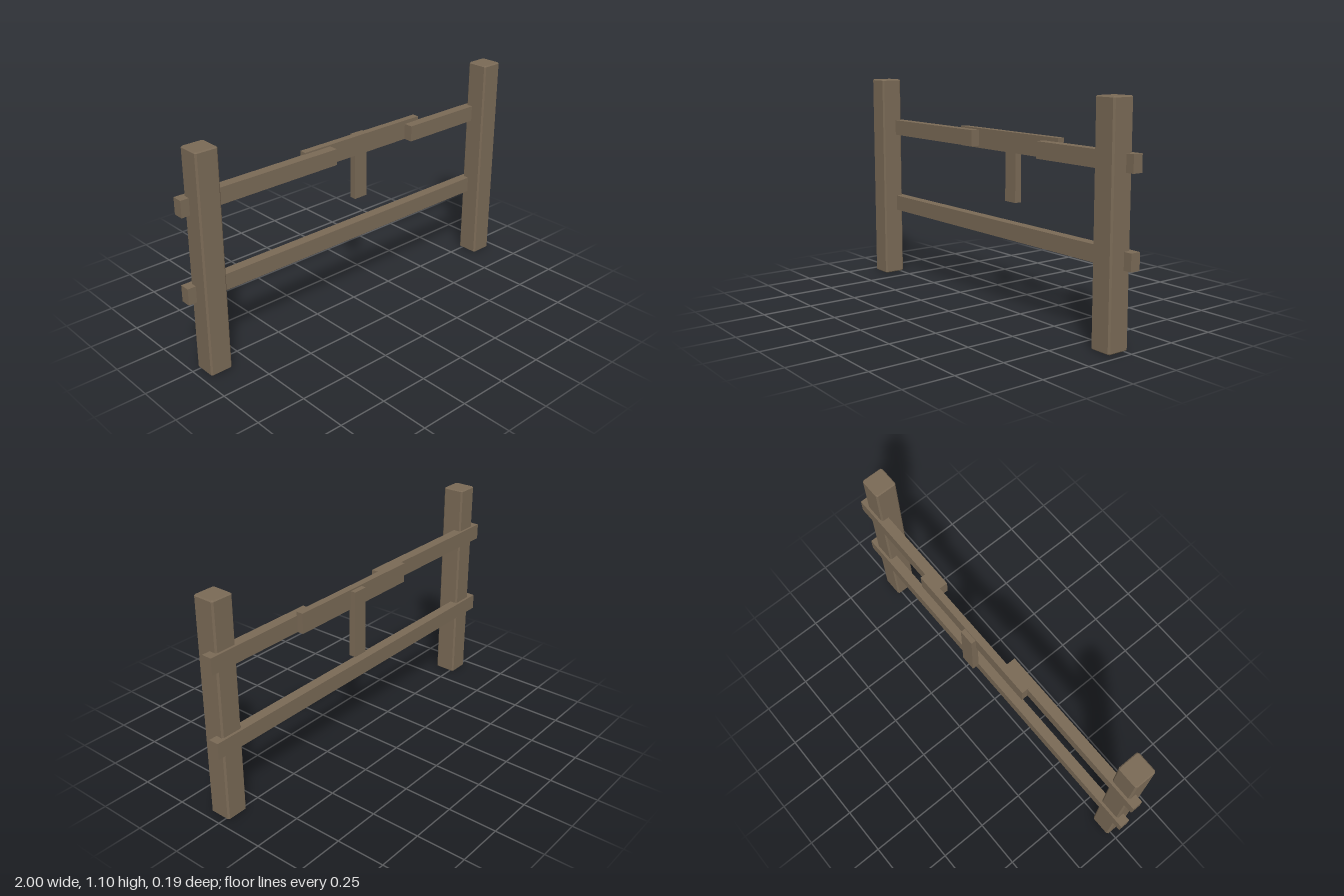
import * as THREE from 'three';

const wood = new THREE.MeshStandardMaterial({ color: 0x7a6a56 });
wood.name = 'weathered wood';

// Plain plank given by its minimum and maximum corners
function plank(name, [x0, y0, z0], [x1, y1, z1]) {
  const mesh = new THREE.Mesh(new THREE.BoxGeometry(x1 - x0, y1 - y0, z1 - z0), wood);
  mesh.position.set((x0 + x1) / 2, (y0 + y1) / 2, (z0 + z1) / 2);
  mesh.name = name;
  return mesh;
}

// Square post with small chamfers on every edge
function post(name, x, z, width, height) {
  const c = 0.005, h = width / 2 - c, k = h - c;
  const section = new THREE.Shape([
    [h, -k], [h, k], [k, h], [-k, h], [-h, k], [-h, -k], [-k, -h], [k, -h],
  ].map(([a, b]) => new THREE.Vector2(a, b)));
  const geometry = new THREE.ExtrudeGeometry(section, {
    depth: height - 2 * c, bevelEnabled: true, bevelSize: c, bevelThickness: c, bevelSegments: 1,
  });
  geometry.rotateX(-Math.PI / 2);
  const mesh = new THREE.Mesh(geometry, wood);
  mesh.position.set(x, c, z);
  mesh.name = name;
  return mesh;
}

export function createModel() {
  const fence = new THREE.Group();
  fence.name = 'fence';

  // Upright posts
  fence.add(post('rightPost', -0.9, 0.036, 0.115, 1.1));
  fence.add(post('leftPost', 0.9, 0.036, 0.115, 1.1));

  // Lower rail and the two halves of the broken upper rail
  fence.add(plank('lowerRail', [-1, 0.361, -0.035], [1, 0.443, 0.017]));
  fence.add(plank('upperRailRight', [-1, 0.791, -0.035], [-0.125, 0.873, 0.017]));
  fence.add(plank('upperRailLeft', [0.38, 0.78, -0.035], [1, 0.862, 0.017]));

  // Repair board bridging the gap, with a short hanging batten behind it
  fence.add(plank('repairBoard', [-0.28, 0.78, -0.067], [0.476, 0.881, -0.031]));
  fence.add(plank('hangingBatten', [0.059, 0.529, -0.092], [0.138, 0.873, -0.056]));

  return fence;
}
